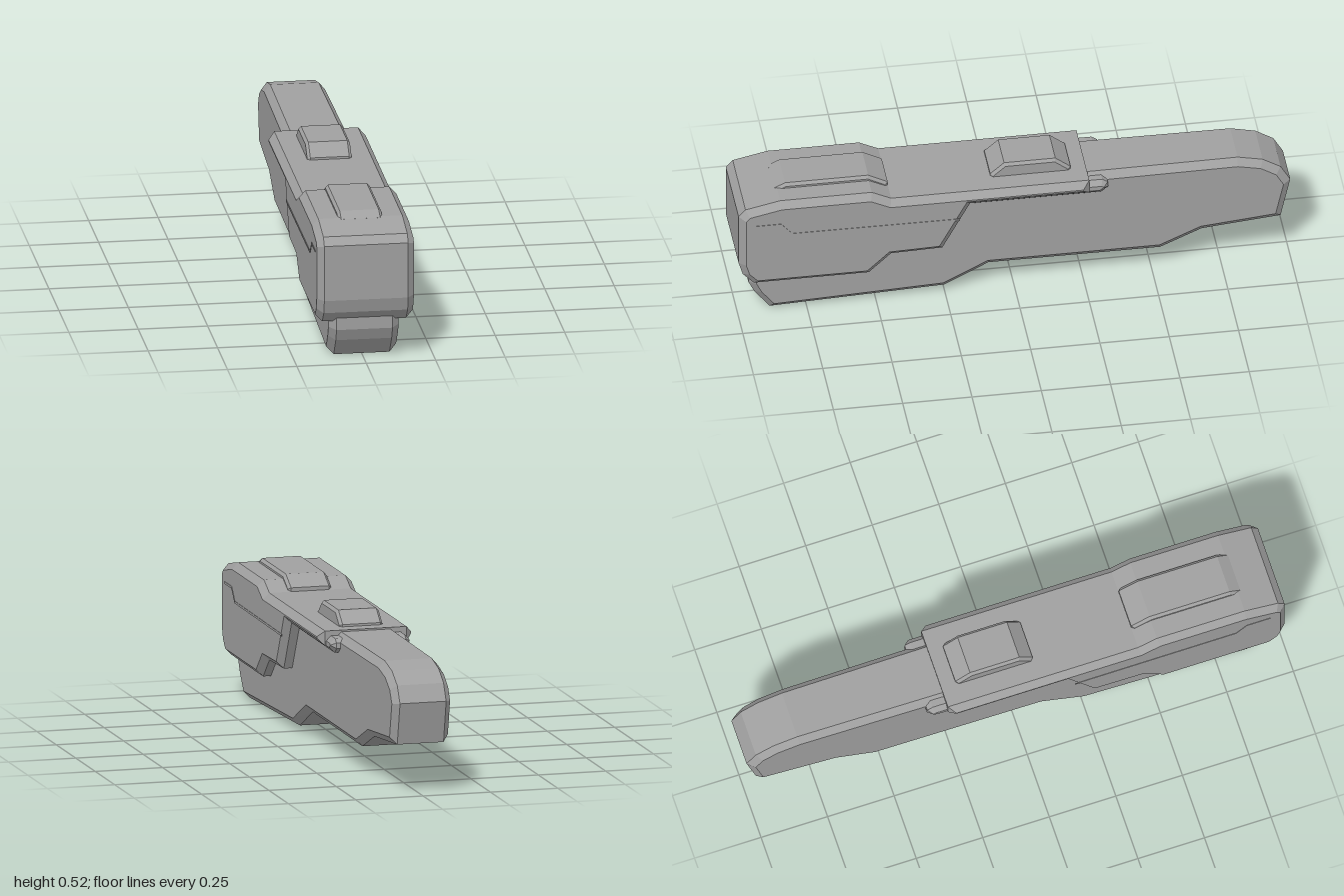
import * as THREE from 'three';

const grey = new THREE.MeshStandardMaterial({ color: 0xa0a0a0 });
grey.name = 'grey';

// Chamfered slab: a side profile of [z, y] points spread across x
function slab(name, profile, halfWidth, chamfer) {
  const shape = new THREE.Shape(profile.map(([z, y]) => new THREE.Vector2(z, y)));
  const depth = 2 * (halfWidth - chamfer);
  const geometry = new THREE.ExtrudeGeometry(shape, {
    depth,
    bevelEnabled: chamfer > 0,
    bevelThickness: chamfer,
    bevelSize: chamfer,
    bevelOffset: -chamfer,
    bevelSegments: 1,
  });
  geometry.translate(0, 0, -depth / 2);
  geometry.rotateY(-Math.PI / 2);
  const mesh = new THREE.Mesh(geometry, grey);
  mesh.name = name;
  return mesh;
}

export function createModel() {
  const model = new THREE.Group();
  model.name = 'slimHousing';

  // Long inner body with a stepped underside and rounded rear end
  const core = slab('innerBody', [
    [0.88, 0], [0.25, 0.02], [0.09, 0.1], [-0.53, 0.095], [-0.68, 0.16],
    [-0.965, 0.185], [-1, 0.34], [-0.965, 0.4], [-0.9, 0.44], [-0.81, 0.46],
    [0.1, 0.46], [0.5, 0.45], [0.9, 0.4], [0.957, 0.3], [0.957, 0.115], [0.935, 0.07],
  ], 0.127, 0.026);
  // The body narrows slightly towards the rear
  const pos = core.geometry.attributes.position;
  for (let i = 0; i < pos.count; i++) {
    pos.setX(i, pos.getX(i) * (0.925 + 0.077 * pos.getZ(i)));
  }
  core.geometry.computeVertexNormals();
  model.add(core);

  // Wider shell wrapped over the front, with a thin strap running back
  model.add(slab('outerShell', [
    [0.945, 0.147], [0.985, 0.19], [1, 0.24], [1, 0.445], [0.975, 0.473],
    [0.85, 0.5], [0.52, 0.5], [0.45, 0.466], [-0.265, 0.466], [-0.265, 0.412],
    [0.165, 0.412], [0.265, 0.227], [0.45, 0.222], [0.53, 0.147],
  ], 0.175, 0.024));

  // Rail under the strap, projecting past its rear edge
  model.add(slab('sideRail', [
    [0.17, 0.395], [-0.31, 0.395], [-0.337, 0.415], [-0.335, 0.435],
    [-0.315, 0.448], [0.17, 0.448],
  ], 0.147, 0.018));

  // Raised pads on top
  model.add(slab('frontPad', [
    [0.86, 0.48], [0.86, 0.498], [0.82, 0.517], [0.52, 0.517], [0.45, 0.48], [0.45, 0.455],
  ], 0.08, 0.01));
  model.add(slab('rearPad', [
    [0.08, 0.45], [0.08, 0.474], [0.03, 0.517], [-0.155, 0.517], [-0.21, 0.474], [-0.21, 0.45],
  ], 0.08, 0.01));

  // Thin stepped seam strips on both sides of the shell
  const seam = [[0.94, 0.414], [0.85, 0.414], [0.81, 0.368], [0.205, 0.365]];
  const outline = [...seam, ...seam.map(([z, y]) => [z, y - 0.008]).reverse()];
  for (const side of [-1, 1]) {
    const strip = slab(side > 0 ? 'leftSeam' : 'rightSeam', outline, 0.001, 0);
    strip.position.x = side * 0.1755;
    model.add(strip);
  }

  return model;
}
